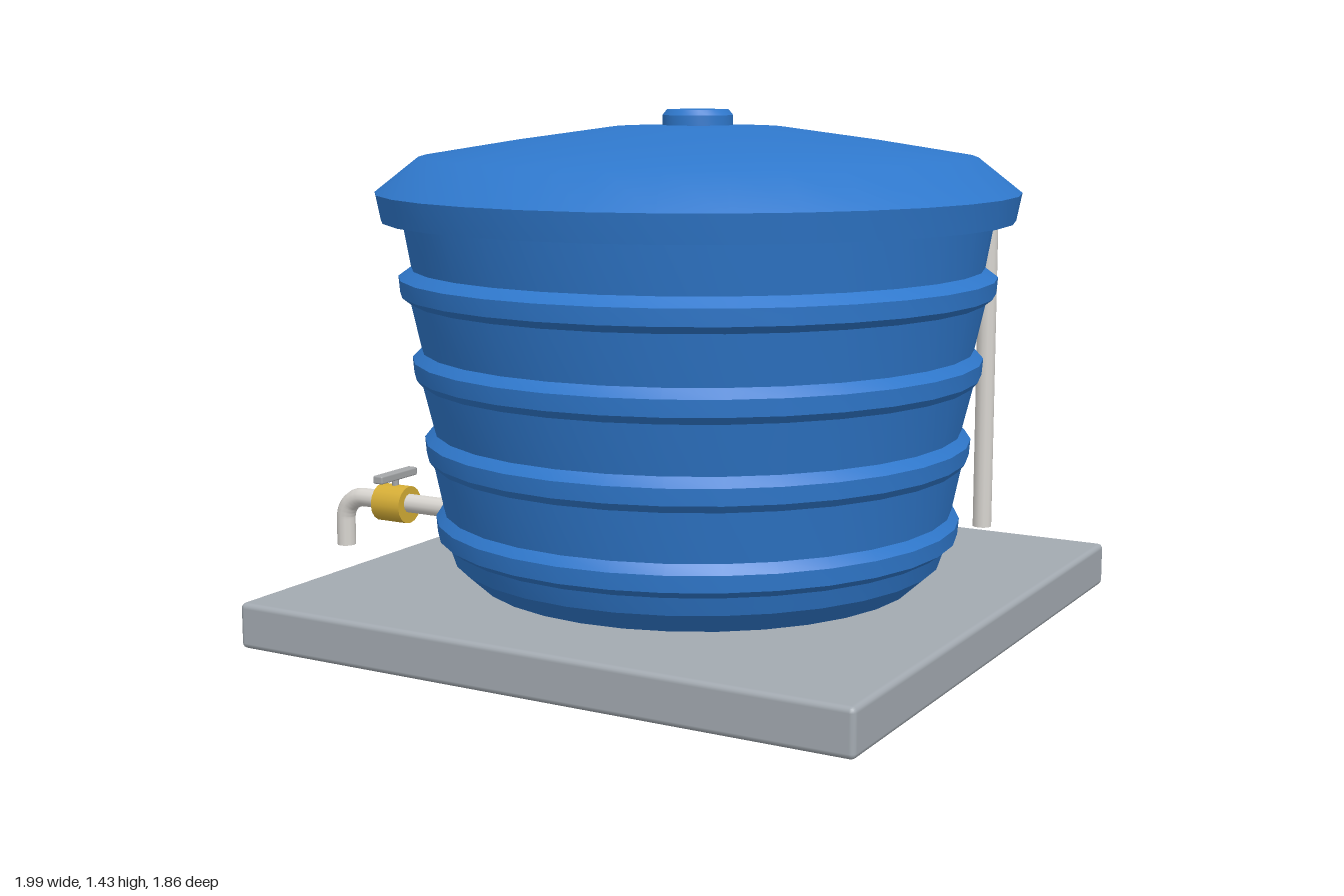
import * as THREE from 'three';
import { toCreasedNormals } from 'three/addons/utils/BufferGeometryUtils.js';
import { RoundedBoxGeometry } from 'three/addons/geometries/RoundedBoxGeometry.js';

const material = (name, color) => new THREE.MeshStandardMaterial({ name, color });

export function createModel() {
  const blue = material('blue plastic', 0x2f78cc);
  const concrete = material('grey concrete', 0xa3aab1);
  const pipeGrey = material('pale pipe', 0xd8d5d0);
  const brass = material('brass', 0xd6ae36);
  const steel = material('steel', 0xa6a8aa);

  const model = new THREE.Group();
  model.name = 'waterTank';

  const add = (parent, name, geometry, mat, x = 0, y = 0, z = 0) => {
    const mesh = new THREE.Mesh(geometry, mat);
    mesh.name = name;
    mesh.position.set(x, y, z);
    parent.add(mesh);
    return mesh;
  };
  const lathe = (points, sides = 32) =>
    new THREE.LatheGeometry(points.map(([r, y]) => new THREE.Vector2(r, y)), sides);
  const creasedLathe = (points, sides) => toCreasedNormals(lathe(points, sides), 0.3);

  // Base slab
  add(model, 'baseSlab', new RoundedBoxGeometry(1.8, 0.125, 1.8, 2, 0.015), concrete, 0.09, 0.0625, 0.03);

  // Tank body: tapered wall with four raised hoops
  const tank = new THREE.Group();
  tank.name = 'tank';
  tank.position.set(0.09, 0, 0.03);
  model.add(tank);

  const wall = [[0, 0.126], [0.62, 0.126], [0.685, 0.185], [0.702, 0.25]];
  const hoops = [ // lower y, hoop radius, wall radius below, wall radius above
    [0.255, 0.733, 0.702, 0.712],
    [0.48, 0.76, 0.74, 0.735],
    [0.705, 0.79, 0.768, 0.765],
    [0.93, 0.825, 0.795, 0.79],
  ];
  for (const [y, r, below, above] of hoops) {
    wall.push([below, y - 0.02], [r - 0.004, y], [r, y + 0.045], [above, y + 0.07]);
  }
  wall.splice(3, 1);
  wall.push([0.815, 1.14]);
  add(tank, 'tankBody', creasedLathe(wall), blue);

  // Lid: hanging rim, smooth dome and knob
  add(tank, 'lidRim', creasedLathe([[0.80, 1.13], [0.87, 1.13], [0.885, 1.205]]), blue);
  add(tank, 'lidDome', lathe([
    [0.885, 1.205], [0.765, 1.30], [0.5, 1.343], [0.235, 1.38], [0, 1.388],
  ]), blue);
  add(tank, 'lidKnob', creasedLathe([
    [0.097, 1.37], [0.097, 1.412], [0.085, 1.427], [0, 1.427],
  ], 24), blue);

  // Pipe with one bend and closed ends
  const addPipe = (name, start, corner, end, radius, bend) => {
    const group = new THREE.Group();
    group.name = name;
    model.add(group);
    const [a, c, b] = [start, corner, end].map((p) => new THREE.Vector3(...p));
    const dirA = a.clone().sub(c).normalize();
    const dirB = b.clone().sub(c).normalize();
    const centre = c.clone().addScaledVector(dirA, bend).addScaledVector(dirB, bend);
    const path = new THREE.CurvePath();
    let from = a;
    for (let i = 0; i <= 8; i++) {
      const t = (i / 8) * Math.PI / 2;
      const to = centre.clone()
        .addScaledVector(dirB, -bend * Math.cos(t))
        .addScaledVector(dirA, -bend * Math.sin(t));
      path.add(new THREE.LineCurve3(from, to));
      from = to;
    }
    path.add(new THREE.LineCurve3(from, b));
    add(group, 'pipe', new THREE.TubeGeometry(path, 64, radius, 12), pipeGrey);
    for (const [point, dir] of [[a, dirA], [b, dirB]]) {
      const cap = add(group, 'pipeEnd', new THREE.CircleGeometry(radius, 12), pipeGrey, point.x, point.y, point.z);
      cap.quaternion.setFromUnitVectors(new THREE.Vector3(0, 0, 1), dir);
    }
  };
  addPipe('outletPipe', [-0.58, 0.28, 0.275], [-0.972, 0.28, 0.275], [-0.972, 0.13, 0.275], 0.028, 0.07);
  addPipe('overflowPipe', [0.59, 1.187, -0.67], [0.59, 1.187, -0.903], [0.59, 0.126, -0.903], 0.029, 0.085);

  // Valve on the outlet
  const valve = new THREE.Group();
  valve.name = 'valve';
  valve.position.set(-0.785, 0.275, 0.275);
  model.add(valve);
  const body = add(valve, 'valveBody', new THREE.CylinderGeometry(0.055, 0.055, 0.1, 16), brass);
  body.rotation.z = Math.PI / 2;
  add(valve, 'valveStem', new THREE.CylinderGeometry(0.01, 0.01, 0.04, 8), steel, 0, 0.06, 0);
  add(valve, 'valveHandle', new RoundedBoxGeometry(0.034, 0.024, 0.17, 1, 0.005), steel, 0, 0.083, 0);

  return model;
}
